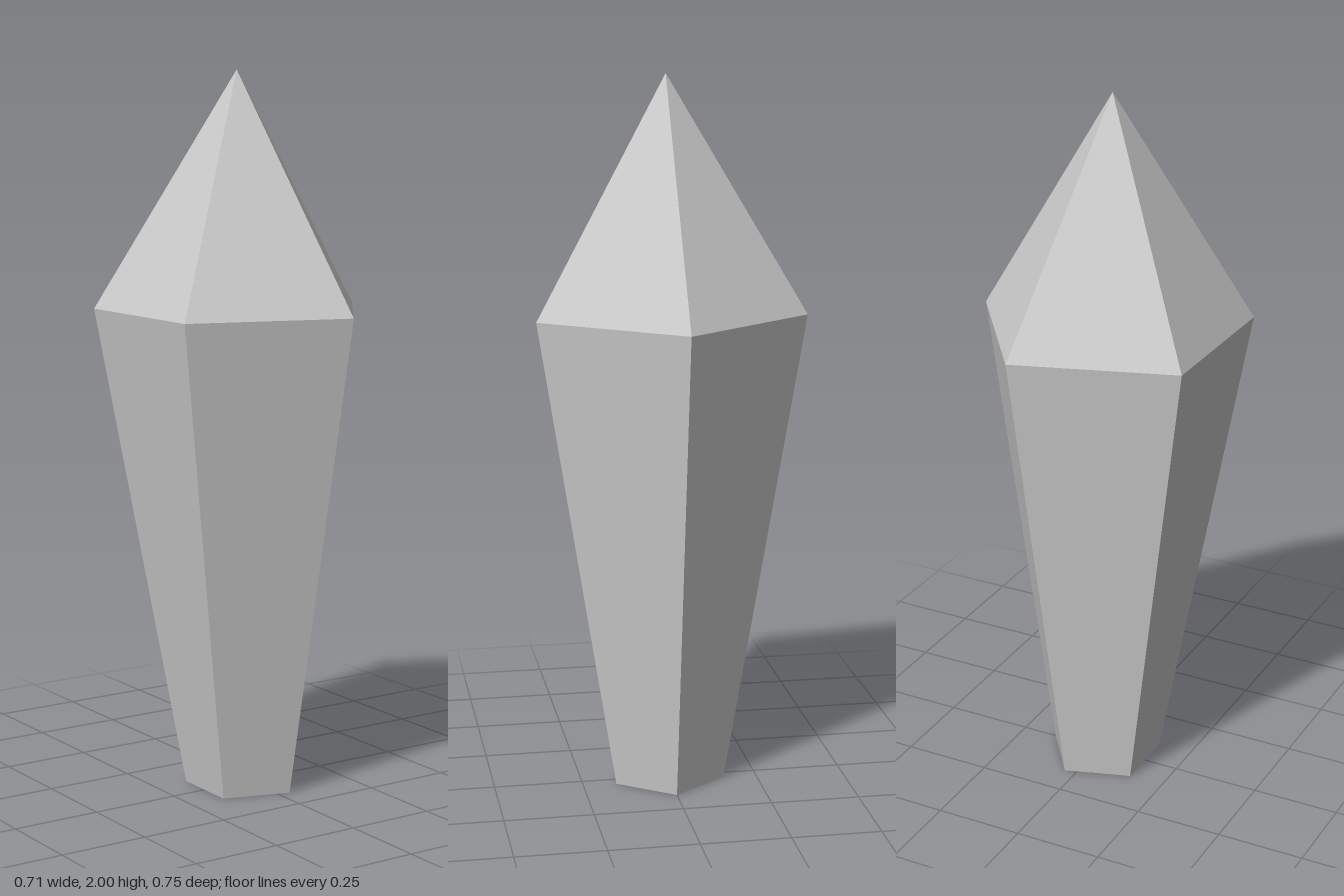
import * as THREE from 'three';

const SIDES = 5;
const SHOULDER_Y = 1.35;
const SHOULDER_RADIUS = 0.393;
const BASE_RADIUS = 0.1635;
const TIP_X = -0.0375; // axis of the shoulder ring and tip
const BASE_X = -0.016; // axis of the base ring

export function createModel() {
  const group = new THREE.Group();
  group.name = 'crystal';
  const material = new THREE.MeshStandardMaterial({ color: 0xcccccc, flatShading: true });

  // Tapered five-sided shaft with a corner facing +x, closed underneath
  const shaftGeometry = new THREE.CylinderGeometry(
    SHOULDER_RADIUS, BASE_RADIUS, SHOULDER_Y, SIDES, 1, false, Math.PI / 2);
  shaftGeometry.translate(0, SHOULDER_Y / 2, 0);

  // Lean the shaft slightly from the base axis to the shoulder axis
  const position = shaftGeometry.attributes.position;
  for (let i = 0; i < position.count; i++) {
    const t = position.getY(i) / SHOULDER_Y;
    position.setX(i, position.getX(i) + THREE.MathUtils.lerp(BASE_X, TIP_X, t));
  }
  shaftGeometry.computeVertexNormals();
  const shaft = new THREE.Mesh(shaftGeometry, material);
  shaft.name = 'shaft';

  // Pointed tip
  const tipHeight = 2 - SHOULDER_Y;
  const tip = new THREE.Mesh(
    new THREE.ConeGeometry(SHOULDER_RADIUS, tipHeight, SIDES, 1, true, Math.PI / 2), material);
  tip.name = 'tip';
  tip.position.set(TIP_X, SHOULDER_Y + tipHeight / 2, 0);

  group.add(shaft, tip);
  return group;
}
